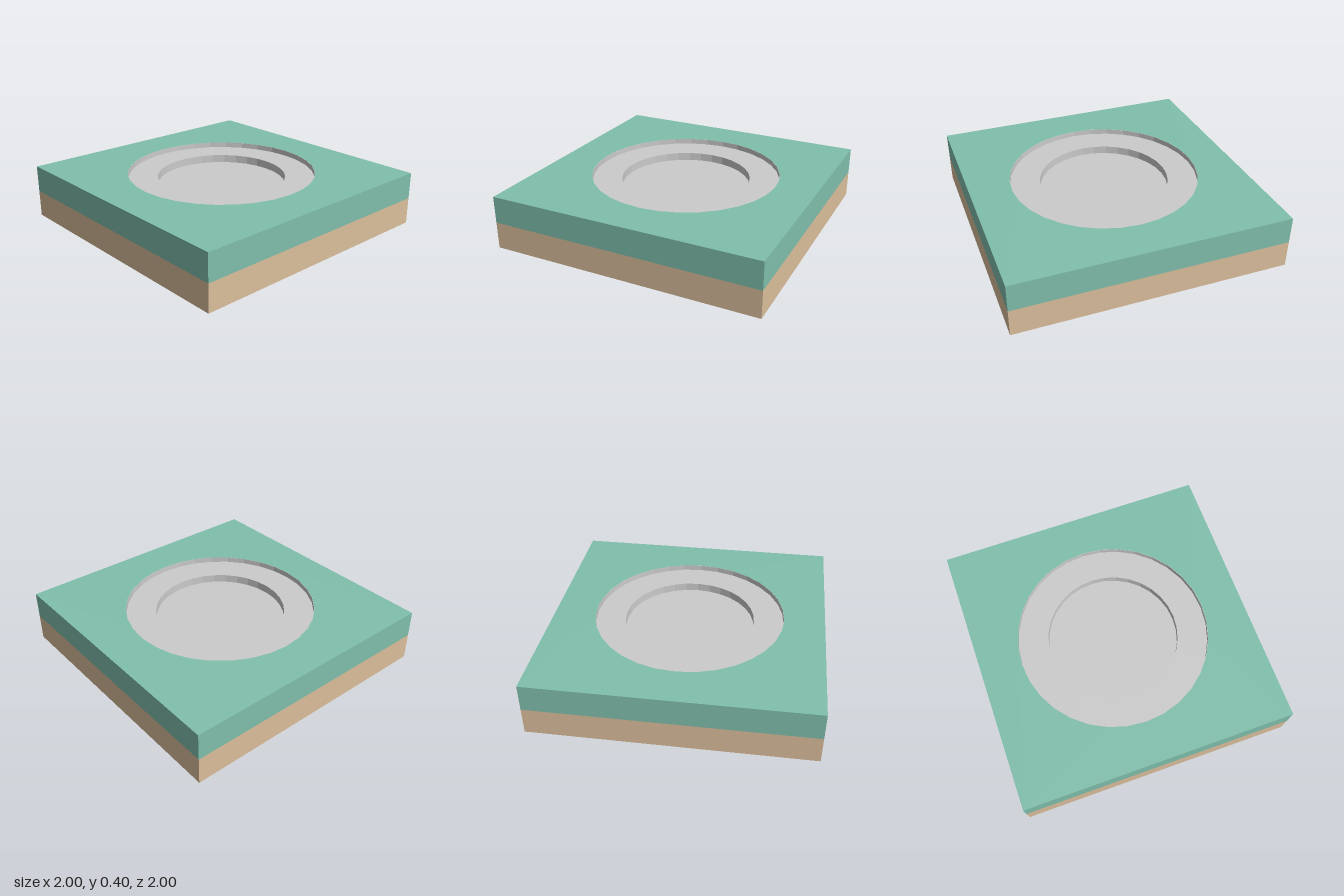
import * as THREE from 'three';

const SIDES = 32;
const RIM = 0.702;

function part(name, geometry, color) {
  const material = new THREE.MeshStandardMaterial({ color, flatShading: true });
  const mesh = new THREE.Mesh(geometry, material);
  mesh.name = name;
  return mesh;
}

export function createModel() {
  const model = new THREE.Group();
  model.name = 'recessedTile';

  // Lower slab
  const base = part('baseSlab', new THREE.BoxGeometry(2, 0.2, 2), 0xdbbe9b);
  base.position.y = 0.1;
  model.add(base);

  // Upper slab with a round opening
  const outline = new THREE.Shape([[-1, -1], [1, -1], [1, 1], [-1, 1]].map(([x, y]) => new THREE.Vector2(x, y)));
  const ring = [];
  for (let i = 0; i < SIDES; i++) {
    const a = (-i / SIDES) * Math.PI * 2;
    ring.push(new THREE.Vector2(Math.cos(a) * RIM, Math.sin(a) * RIM));
  }
  outline.holes.push(new THREE.Path(ring));
  const slab = new THREE.ExtrudeGeometry(outline, { depth: 0.2, bevelEnabled: false });
  slab.rotateX(-Math.PI / 2);
  slab.translate(0, 0.2, 0);
  model.add(part('topSlab', slab, 0x80bfac));

  // Stepped round recess: rim, ledge and floor, profile runs inwards
  const profile = [[RIM, 0.4], [0.7, 0.4], [0.7, 0.36], [0.48, 0.36], [0.48, 0.3], [0, 0.3]]
    .map(([r, y]) => new THREE.Vector2(r, y));
  model.add(part('steppedRecess', new THREE.LatheGeometry(profile, SIDES), 0xcccccc));

  return model;
}
